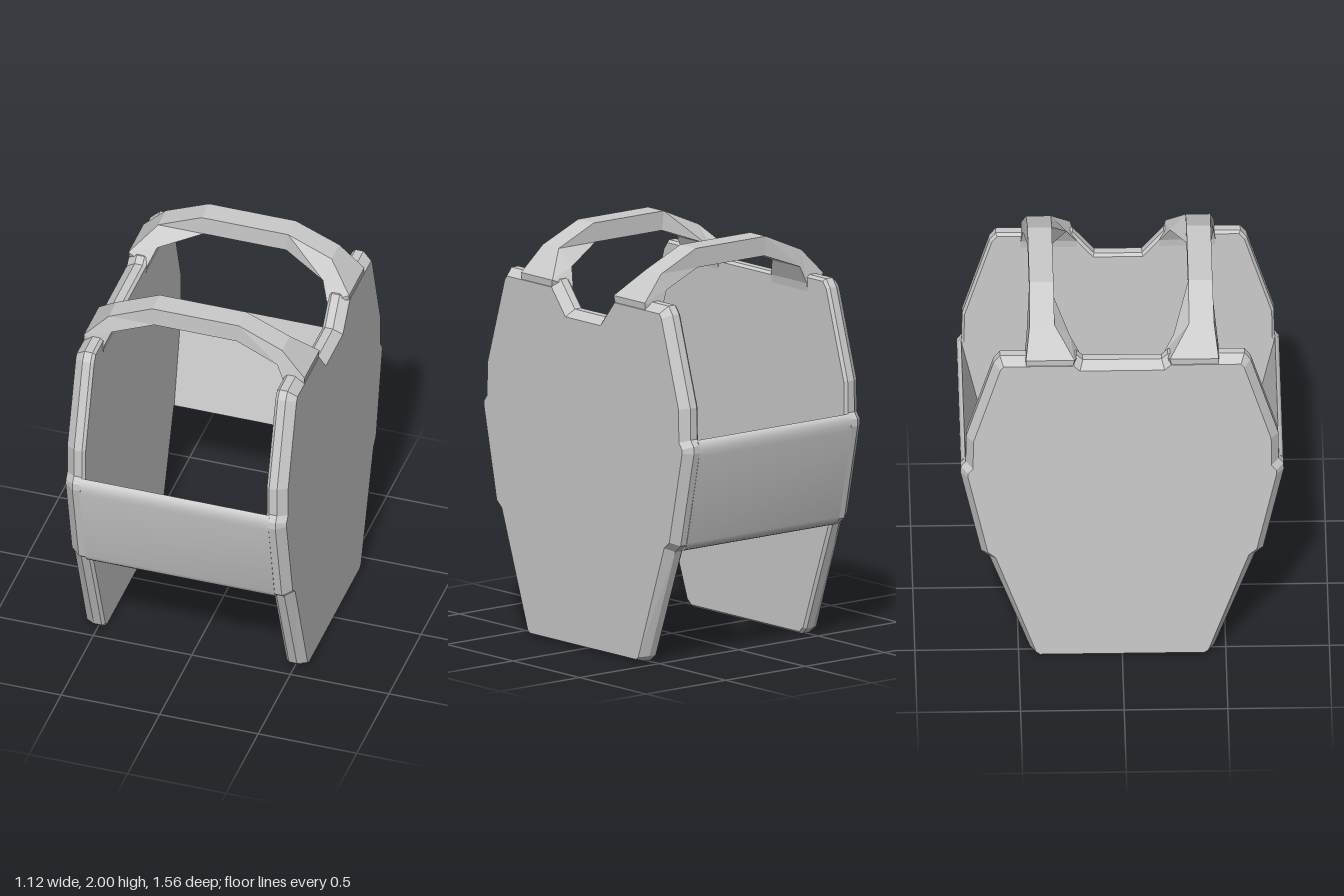
import * as THREE from 'three';
import { toCreasedNormals } from 'three/addons/utils/BufferGeometryUtils.js';

const grey = new THREE.MeshStandardMaterial({ color: 0xcccccc });

// Skin a row of loops, each { x, pts: [z, y] counter-clockwise }, and cap both ends.
// A loop's x may also be an array with one value per point.
function loft(loops) {
  const n = loops[0].pts.length;
  const at = (l, i) => {
    const [z, y] = l.pts[i % n];
    return new THREE.Vector3(Array.isArray(l.x) ? l.x[i % n] : l.x, y, z);
  };
  const tris = [];
  for (let k = 0; k + 1 < loops.length; k++) {
    for (let i = 0; i < n; i++) {
      const a = at(loops[k], i), b = at(loops[k], i + 1);
      const c = at(loops[k + 1], i + 1), d = at(loops[k + 1], i);
      tris.push([a, b, c], [a, c, d]);
    }
  }
  const cap = (l, flip) => {
    const flat = l.pts.map(([z, y]) => new THREE.Vector2(z, y));
    for (const [a, b, c] of THREE.ShapeUtils.triangulateShape(flat, [])) {
      tris.push(flip ? [at(l, a), at(l, c), at(l, b)] : [at(l, a), at(l, b), at(l, c)]);
    }
  };
  cap(loops[0], true);
  cap(loops[loops.length - 1], false);
  // turn the skin outward if its volume comes out negative
  const volume = tris.reduce((s, [a, b, c]) => s + a.dot(b.clone().cross(c)), 0);
  if (volume < 0) tris.forEach((t) => t.reverse());
  const geo = new THREE.BufferGeometry().setFromPoints(tris.flat());
  geo.computeVertexNormals();
  return geo;
}

// Move a closed outline inward by d with mitred corners
function inset(pts, d) {
  const n = pts.length;
  const normal = (a, b) => new THREE.Vector2(a[1] - b[1], b[0] - a[0]).normalize();
  return pts.map((p, i) => {
    const n1 = normal(pts[(i + n - 1) % n], p), n2 = normal(p, pts[(i + 1) % n]);
    const m = n1.clone().add(n2).multiplyScalar(d / (1 + n1.dot(n2)));
    return [p[0] + m.x, Math.max(0, p[1] + m.y)];
  });
}

function add(parent, geo, name) {
  const mesh = new THREE.Mesh(geo, grey);
  mesh.name = name;
  parent.add(mesh);
}

// Side panel with bevelled rim and a notch in its top edge
function sidePanel(side, notchHalf, notchY) {
  const half = [
    [0.41, 0], [0.445, 0.03], [0.64, 0.575], [0.68, 0.61], [0.78, 1.08], [0.778, 1.115],
    [0.755, 1.145], [0.753, 1.3], [0.62, 1.74], [0.59, 1.78], [0.22, 1.78], [notchHalf, notchY],
  ];
  const outline = [...half, ...half.slice().reverse().map(([z, y]) => [-z, y])];
  const face = inset(outline, 0.035).map(([z, y]) => [z, y < 0.08 ? Math.max(0.012, y - 0.025) : y]);
  return loft([
    { x: side * 0.46, pts: inset(outline, 0.012) },
    { x: side * 0.475, pts: outline },
    { x: side * 0.515, pts: outline },
    { x: side * 0.56, pts: face },
  ]);
}

// Sloping plate between the panels
function band() {
  const pts = [
    [0.635, 0.585], [0.645, 0.577], [0.662, 0.583], [0.676, 0.597], [0.685, 0.62],
    [0.777, 1.06], [0.78, 1.09], [0.778, 1.115], [0.77, 1.132], [0.757, 1.14],
  ];
  return toCreasedNormals(loft([{ x: -0.48, pts }, { x: 0.48, pts }]), 0.6);
}

// Faceted arch with feet that flare along the panel tops
function arch() {
  // outer x, y, z range; inner x, y, z range
  const half = [
    [0.555, 1.70, 0.25, 0.46, 0.465, 1.66, 0.2, 0.47],
    [0.56, 1.78, 0.23, 0.465, 0.455, 1.74, 0.2, 0.47],
    [0.44, 1.905, 0.325, 0.445, 0.42, 1.825, 0.25, 0.46],
    [0.22, 2, 0.325, 0.442, 0.21, 1.905, 0.325, 0.442],
  ];
  const section = (s, [ox, oy, o0, o1, ix, iy, i0, i1]) => ({
    x: [s * ox, s * ox, s * ix, s * ix],
    pts: [[o1, oy], [o0, oy], [i0, iy], [i1, iy]],
  });
  return loft([
    ...half.map((h) => section(1, h)),
    ...half.slice().reverse().map((h) => section(-1, h)),
  ]);
}

export function createModel() {
  const model = new THREE.Group();
  model.name = 'carrierFrame';
  add(model, sidePanel(1, 0.115, 1.65), 'leftSidePanel');
  add(model, sidePanel(-1, 0.19, 1.75), 'rightSidePanel');

  // the front and back halves are the same, turned about y
  for (const [name, turn] of [['front', 0], ['back', Math.PI]]) {
    const end = new THREE.Group();
    end.name = name + 'End';
    end.rotation.y = turn;
    add(end, band(), name + 'Band');
    add(end, arch(), name + 'Arch');
    model.add(end);
  }
  return model;
}
